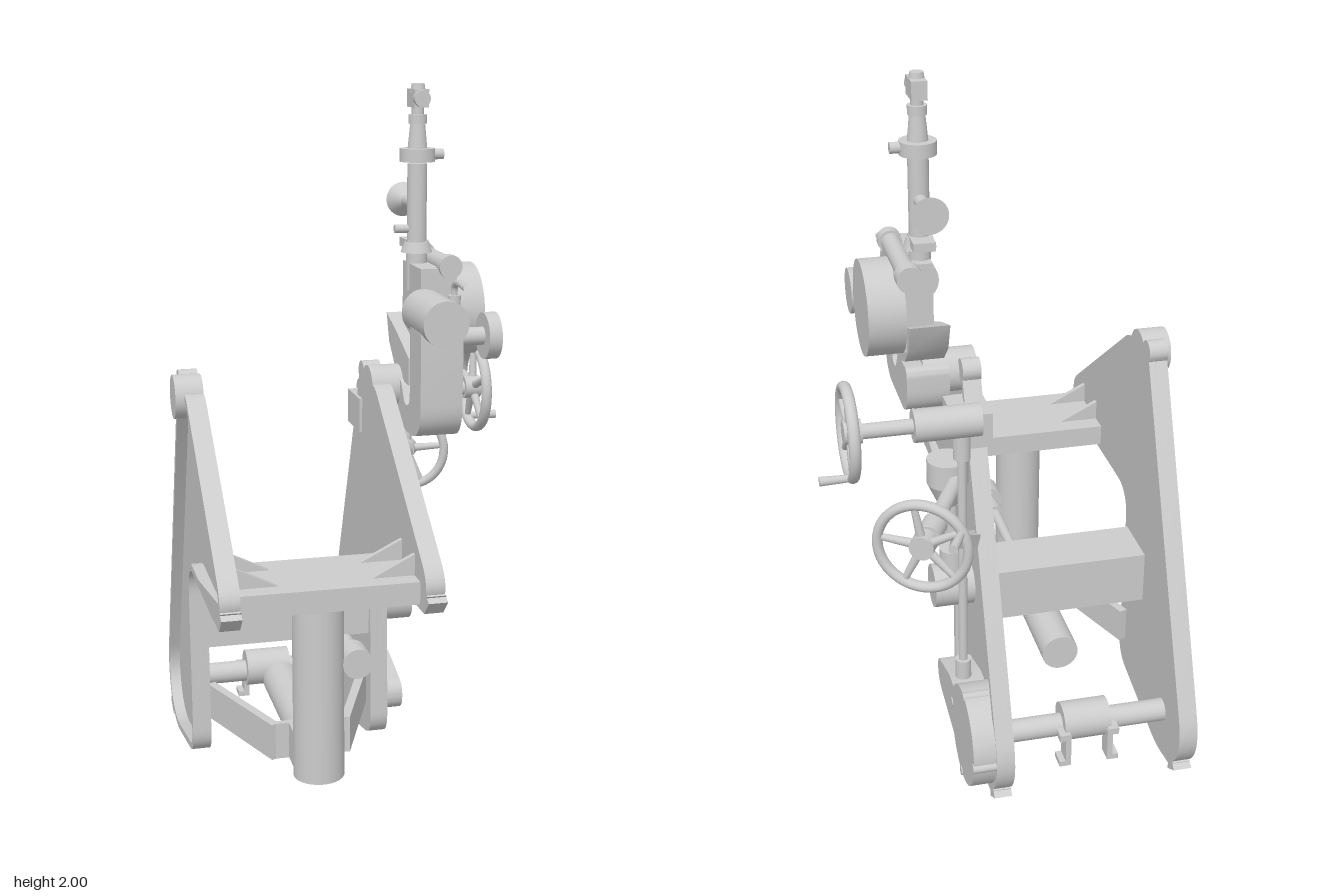
import * as THREE from 'three';
import { toCreasedNormals } from 'three/addons/utils/BufferGeometryUtils.js';

const mat = new THREE.MeshStandardMaterial({ color: 0xcccccc });
const V = (p) => new THREE.Vector3(...p);
const UP = new THREE.Vector3(0, 1, 0);

function add(parent, name, geo) {
  const mesh = new THREE.Mesh(geo, mat);
  mesh.name = name;
  parent.add(mesh);
  return mesh;
}

// Box given by its x, y and z ranges
function box(parent, name, [x0, x1], [y0, y1], [z0, z1]) {
  const m = add(parent, name, new THREE.BoxGeometry(x1 - x0, y1 - y0, z1 - z0));
  m.position.set((x0 + x1) / 2, (y0 + y1) / 2, (z0 + z1) / 2);
  return m;
}

// Round bar from a to b, optionally tapered
function rod(parent, name, a, b, ra, rb = ra, sides = 32) {
  const d = V(b).sub(V(a));
  const m = add(parent, name, new THREE.CylinderGeometry(rb, ra, d.length(), sides));
  m.position.copy(V(a)).addScaledVector(d, 0.5);
  m.quaternion.setFromUnitVectors(UP, d.normalize());
  return m;
}

// Rectangular bar from a to b: w across, h upright
function bar(parent, name, a, b, w, h) {
  const m = add(parent, name, new THREE.BoxGeometry(w, h, V(a).distanceTo(V(b))));
  m.position.copy(V(a)).lerp(V(b), 0.5);
  m.lookAt(V(b));
  return m;
}

// Outline through [u, v, cornerRadius] points with softened corners
function roundedOutline(pts) {
  const path = new THREE.Path();
  pts.forEach(([u, v, r], i) => {
    const p = new THREE.Vector2(u, v);
    const [prev, next] = [pts.at(i - 1), pts[(i + 1) % pts.length]].map(([a, b]) => new THREE.Vector2(a, b));
    const s = p.clone().add(prev.sub(p).setLength(r));
    const e = p.clone().add(next.sub(p).setLength(r));
    if (i) path.lineTo(s.x, s.y); else path.moveTo(s.x, s.y);
    path.quadraticCurveTo(p.x, p.y, e.x, e.y);
  });
  return path.getPoints(10);
}

// Shrinks a counter-clockwise outline by d
function inset(pts, d) {
  const n = pts.length;
  return pts.map((p, i) => {
    const t = pts[(i + 1) % n].clone().sub(pts[(i + n - 1) % n]).normalize();
    return new THREE.Vector2(p.x - t.y * d, p.y + t.x * d);
  });
}

// Extrudes a (z, y) outline between x0 and x1
function slab(parent, name, outline, x0, x1, hole) {
  const shape = new THREE.Shape(outline);
  if (hole) shape.holes.push(new THREE.Path(hole));
  const g = new THREE.ExtrudeGeometry(shape, { depth: x1 - x0, bevelEnabled: false, curveSegments: 24 });
  g.rotateY(-Math.PI / 2).translate(x1, 0, 0);
  return add(parent, name, toCreasedNormals(g, 0.5));
}

// Spoked hand wheel with a crank grip, axis along dir
function handWheel(parent, name, centre, dir, gripAngle) {
  const g = new THREE.Group();
  g.name = name;
  const rim = add(g, 'wheelRim', new THREE.TorusGeometry(0.124, 0.014, 12, 48));
  rim.scale.z = 1.15;
  rod(g, 'wheelHub', [0, 0, -0.035], [0, 0, 0.014], 0.034);
  for (let i = 0; i < 5; i++) {
    const a = gripAngle + (i * Math.PI * 2) / 5, c = Math.cos(a), s = Math.sin(a);
    rod(g, 'wheelSpoke', [c * 0.02, s * 0.02, -0.005], [c * 0.122, s * 0.122, 0], 0.013, 0.009, 12);
  }
  const gx = Math.cos(gripAngle) * 0.122, gy = Math.sin(gripAngle) * 0.122;
  rod(g, 'wheelGrip', [gx, gy, 0], [gx, gy, 0.09], 0.01, 0.013, 16);
  g.position.copy(V(centre));
  g.lookAt(V(centre).add(V(dir)));
  parent.add(g);
}

export function createModel() {
  const root = new THREE.Group();
  root.name = 'gunCarriage';

  // Side cheeks: flat inner web with a raised rim on the outside
  const cheek = roundedOutline([
    [0.62, 0.755, 0.09], [0.05, 1.165, 0.03], [-0.128, 1.18, 0.02], [-0.595, 0.09, 0.15],
    [-0.42, -0.012, 0.11], [0.01, 0.082, 0.07], [-0.005, 0.67, 0.1], [0.535, 0.67, 0.09],
  ]).reverse();
  if (THREE.ShapeUtils.area(cheek) < 0) cheek.reverse();
  const inner = inset(cheek, 0.02);
  const lug = Array.from({ length: 24 }, (_, i) => new THREE.Vector2(
    -0.112 + 0.033 * Math.cos((i * Math.PI) / 12), 1.178 + 0.033 * Math.sin((i * Math.PI) / 12)));
  for (const [side, x0, x1, w0, w1] of [['right', -0.488, -0.434, -0.455, -0.434], ['left', 0.049, 0.101, 0.049, 0.07]]) {
    slab(root, side + 'CheekWeb', cheek, w0, w1);
    slab(root, side + 'CheekRim', cheek, x0, x1, inner);
    slab(root, side + 'CapLug', lug, x0, x1);
  }
  rod(root, 'rightTrunnionBearing', [-0.513, 1.15, -0.038], [-0.434, 1.15, -0.038], 0.062);
  rod(root, 'leftTrunnionBearing', [0.049, 1.15, -0.038], [0.2, 1.15, -0.038], 0.062);

  // Front platform with corner gussets
  box(root, 'platform', [-0.434, 0.049], [0.69, 0.73], [0.275, 0.533]);
  box(root, 'platformTop', [-0.434, 0.049], [0.73, 0.752], [0.275, 0.533]);
  for (const z of [0.34, 0.47]) for (const s of [-1, 1]) {
    const gx = -0.1925 + s * 0.2415;
    const tri = new THREE.Shape([[gx, 0.75], [gx - s * 0.12, 0.75], [gx, 0.81]].map(([x, y]) => new THREE.Vector2(x, y)));
    add(root, 'gusset', new THREE.ExtrudeGeometry(tri, { depth: 0.016, bevelEnabled: false })).position.z = z - 0.008;
  }

  // Pivot column, cross transom and lower splayed frame
  rod(root, 'pivotColumn', [-0.193, 0.165, 0.386], [-0.193, 0.7, 0.386], 0.07, 0.07, 40);
  box(root, 'crossTransom', [-0.434, 0.049], [0.4, 0.555], [-0.186, -0.017]);
  for (const s of [-1, 1]) {
    bar(root, 'frameBrace', [-0.193 + s * 0.23, 0.222, -0.05], [-0.193 + s * 0.1, 0.222, 0.28], 0.025, 0.105);
  }
  box(root, 'frameFront', [-0.3, -0.08], [0.17, 0.275], [0.262, 0.28]);
  box(root, 'frameNeck', [-0.255, -0.13], [0.17, 0.275], [0.26, 0.37]);
  rod(root, 'bufferTube', [-0.193, 0.222, -0.15], [-0.193, 0.222, 0.34], 0.055);

  // Traverse stop rod
  rod(root, 'stopRod', [-0.09, 0.49, -0.02], [-0.09, 0.49, 0.36], 0.015);
  rod(root, 'stopRodSocket', [-0.09, 0.49, -0.03], [-0.09, 0.49, 0.03], 0.03);
  rod(root, 'stopRodCollar', [-0.09, 0.49, 0.26], [-0.09, 0.49, 0.33], 0.026, 0.02);
  rod(root, 'stopRodHead', [-0.09, 0.49, 0.345], [-0.09, 0.49, 0.42], 0.042);

  // Rear axle with clip block and hooks
  rod(root, 'rearAxle', [-0.45, 0.155, -0.4], [0.06, 0.155, -0.4], 0.033);
  rod(root, 'clipBlock', [-0.262, 0.165, -0.4], [-0.125, 0.165, -0.4], 0.056);
  for (const s of [-1, 1]) {
    const x = -0.193 + s * 0.062;
    box(root, 'clipHook', [x - 0.008, x + 0.008], [0.06, 0.16], [-0.47, -0.42]);
    const lip = x + s * 0.01;
    box(root, 'clipHookFoot', [lip - 0.016, lip + 0.016], [0.058, 0.074], [-0.47, -0.42]);
    box(root, 'clipHookTop', [lip - 0.016, lip + 0.016], [0.145, 0.165], [-0.47, -0.42]);
  }

  // Elevating gear cover: round case with a tapering nose and bolt lugs
  const cover = new THREE.Shape();
  cover.moveTo(-0.1, 0.215);
  cover.quadraticCurveTo(-0.055, 0.21, -0.055, 0.17);
  cover.quadraticCurveTo(-0.055, 0.125, -0.11, 0.115);
  cover.lineTo(-0.28, 0.085);
  cover.absarc(-0.4, 0.168, 0.145, -0.6, 0.6, true);
  cover.lineTo(-0.22, 0.25);
  cover.closePath();
  slab(root, 'gearCover', cover.getPoints(24), 0.06, 0.165);
  for (let i = 0; i < 4; i++) {
    const a = Math.PI / 2 + (i * Math.PI) / 2 + 0.1, y = 0.168 + 0.14 * Math.sin(a), z = -0.4 + 0.14 * Math.cos(a);
    rod(root, 'coverBolt', [0.09, y, z], [0.168, y, z], 0.014, 0.014, 12);
  }

  // Elevating drive: vertical shaft, worm housing and upper hand wheel
  rod(root, 'elevatingShaft', [0.125, 0.25, -0.232], [0.125, 1.04, -0.232], 0.013, 0.013, 16);
  rod(root, 'elevatingShaftFoot', [0.125, 0.22, -0.232], [0.125, 0.31, -0.232], 0.023);
  rod(root, 'elevatingJoint', [0.125, 0.97, -0.232], [0.125, 1.05, -0.232], 0.024);
  rod(root, 'elevatingHousing', [0.075, 1.085, -0.235], [0.26, 1.085, -0.235], 0.046);
  box(root, 'housingBracket', [0.04, 0.15], [1.0, 1.1], [-0.24, -0.1]);
  rod(root, 'upperWheelShaft', [0.25, 1.085, -0.235], [0.43, 1.085, -0.235], 0.021);
  handWheel(root, 'upperHandWheel', [0.435, 1.087, -0.235], [1, 0, 0], -1.05);

  // Traversing drive: bevel head, angled shaft and lower hand wheel
  rod(root, 'bevelHead', [0.135, 0.82, -0.085], [0.135, 0.895, -0.085], 0.06);
  rod(root, 'bevelCone', [0.135, 0.75, -0.085], [0.135, 0.82, -0.085], 0.028, 0.06);
  rod(root, 'traversingShaft', [0.125, 0.55, -0.085], [0.125, 0.77, -0.085], 0.017);
  rod(root, 'traversingSocket', [0.125, 0.5, -0.088], [0.125, 0.6, -0.088], 0.036);
  rod(root, 'traversingGearCase', [0.05, 0.48, -0.09], [0.186, 0.48, -0.09], 0.064);
  rod(root, 'lowerWheelShaft', [0.12, 0.845, -0.13], [0.275, 0.845, -0.45], 0.022);
  bar(root, 'wheelShaftBracket', [0.07, 0.72, -0.25], [0.22, 0.83, -0.42], 0.045, 0.035);
  rod(root, 'wheelShaftBush', [0.225, 0.845, -0.35], [0.26, 0.845, -0.42], 0.034);
  handWheel(root, 'lowerHandWheel', [0.282, 0.845, -0.46], [0.45, 0, -0.89], 0.5);

  // Sight arm hooked under the trunnion
  const arm = roundedOutline([
    [0.235, 1.4, 0.02], [0.235, 1.045, 0.1], [-0.105, 1.045, 0.08], [-0.105, 1.19, 0.03],
    [0.03, 1.18, 0.02], [0.07, 1.12, 0.02], [0.125, 1.12, 0.04], [0.125, 1.4, 0.02]]);
  slab(root, 'sightArm', arm, 0.13, 0.25);
  const sector = [[0.075, 1.25], [0.075, 1.172], [0.0, 1.175], [-0.08, 1.205], [-0.14, 1.26], [-0.17, 1.34], [-0.05, 1.3]];
  slab(root, 'elevationSector', sector.map(([z, y]) => new THREE.Vector2(z, y)), 0.14, 0.25);
  rod(root, 'armHead', [0.187, 1.38, 0.06], [0.187, 1.38, 0.282], 0.064);
  box(root, 'sightBody', [0.175, 0.28], [1.25, 1.5], [-0.12, 0.07]);
  rod(root, 'elevationDrum', [0.26, 1.365, -0.055], [0.362, 1.365, -0.055], 0.132, 0.132, 48);
  rod(root, 'knobShaft', [0.22, 1.325, 0.172], [0.33, 1.325, 0.172], 0.025);
  rod(root, 'elevationKnob', [0.325, 1.325, 0.172], [0.362, 1.325, 0.172], 0.065);

  // Bent locking lever
  const lever = new THREE.CatmullRomCurve3([
    [0.262, 1.465, 0.22], [0.262, 1.468, 0.13], [0.262, 1.455, 0.107], [0.262, 1.4, 0.105], [0.262, 1.33, 0.105]].map(V));
  add(root, 'lockingLever', new THREE.TubeGeometry(lever, 24, 0.01, 10));
  rod(root, 'leverBoss', [0.262, 1.32, 0.105], [0.262, 1.43, 0.105], 0.018);

  // Cross-level tube
  rod(root, 'levelTube', [0.258, 1.505, -0.21], [0.258, 1.505, 0.07], 0.026);
  rod(root, 'levelTubeCap', [0.258, 1.505, -0.242], [0.258, 1.505, -0.195], 0.036);
  rod(root, 'levelTubeNose', [0.258, 1.505, 0.05], [0.258, 1.505, 0.085], 0.033);

  // Panoramic sight column, turned parts as [name, y0, y1, r0, r1]
  for (const [name, y0, y1, r0, r1] of [
    ['columnBase', 1.42, 1.53, 0.03, 0.03], ['columnFoot', 1.53, 1.56, 0.045, 0.035],
    ['column', 1.55, 1.78, 0.028, 0.028], ['columnRing', 1.785, 1.822, 0.05, 0.05],
    ['columnNeck', 1.82, 1.9, 0.028, 0.02], ['columnCollar', 1.89, 1.915, 0.026, 0.026],
    ['headStem', 1.91, 1.95, 0.017, 0.017], ['headCap', 1.975, 2.0, 0.022, 0.018],
  ]) rod(root, name, [0.2, y0, -0.067], [0.2, y1, -0.067], r0, r1);
  box(root, 'sightHead', [0.18, 0.222], [1.935, 1.985], [-0.11, -0.03]);
  rod(root, 'sightLens', [0.2, 1.96, -0.04], [0.2, 1.96, -0.015], 0.023);
  rod(root, 'ringKnob', [0.23, 1.805, -0.067], [0.275, 1.805, -0.067], 0.015);
  rod(root, 'sideKnob', [0.135, 1.597, -0.067], [0.2, 1.597, -0.067], 0.012);
  box(root, 'columnClamp', [0.17, 0.23], [1.54, 1.565], [-0.14, -0.05]);
  rod(root, 'eyepieceTube', [0.2, 1.665, -0.07], [0.2, 1.665, -0.175], 0.018);
  rod(root, 'eyepieceCup', [0.2, 1.665, -0.17], [0.2, 1.665, -0.216], 0.018, 0.05);

  return root;
}
